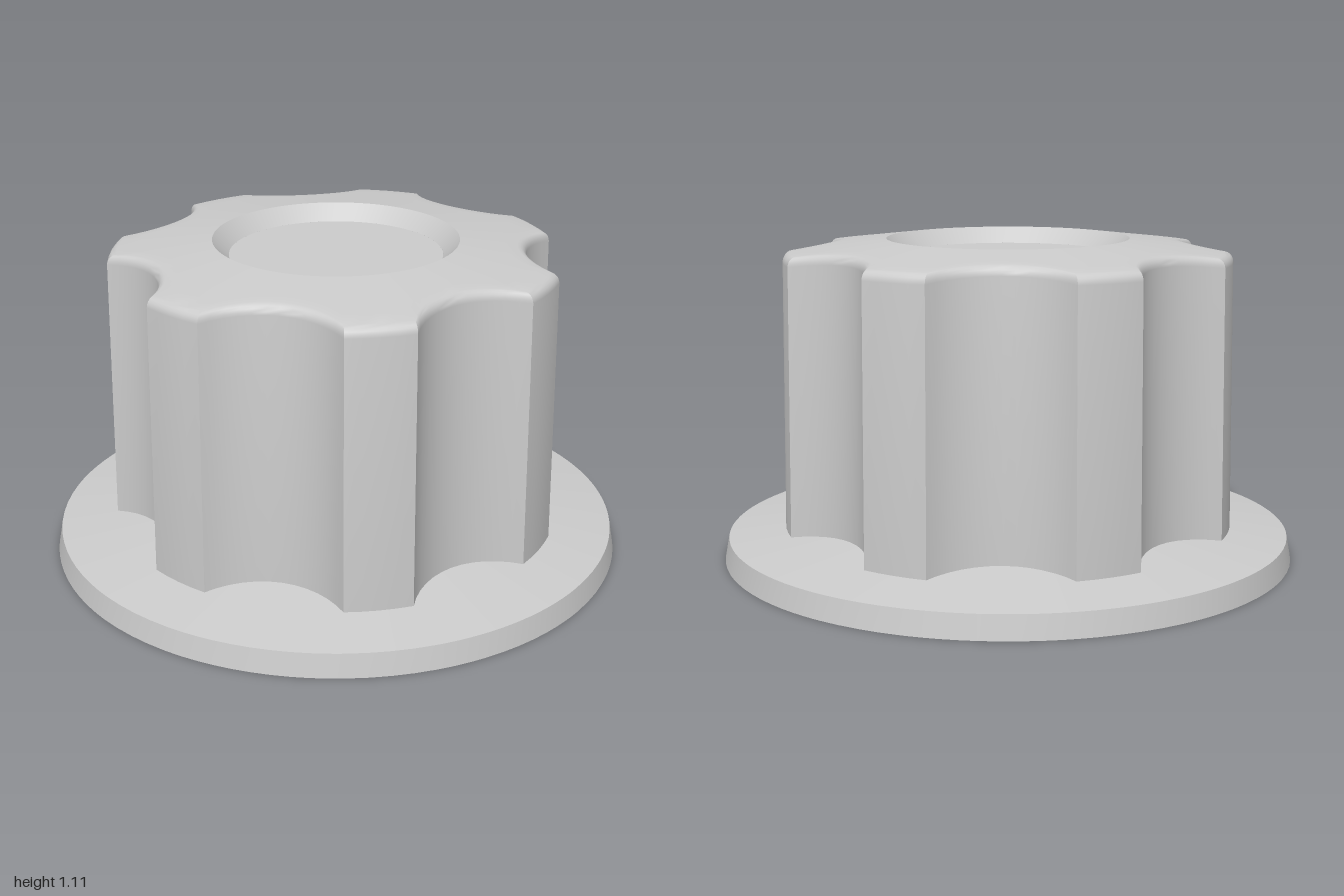
import * as THREE from 'three';
import { toCreasedNormals } from 'three/addons/utils/BufferGeometryUtils.js';

const LOBES = 7;
const STEP = (Math.PI * 2) / LOBES;
const R_LOBE = 0.787;   // lobe radius at the base
const R_VALLEY = 0.655; // flute radius at the base

// Polar outline [angle, radius] of the fluted grip; a flute faces +z, a lobe -z
function gripOutline() {
  const half = STEP / 2 - 0.146; // half angle of a flute
  const chord = R_LOBE * Math.sin(half);
  const sag = R_LOBE * Math.cos(half) - R_VALLEY;
  const R = (chord * chord + sag * sag) / (2 * sag);
  const sweep = Math.asin(chord / R);
  const points = [];
  for (let k = 0; k < LOBES; k++) {
    // concave flute
    for (let i = 0; i < 12; i++) {
      const a = sweep * (i / 6 - 1);
      const x = R * Math.sin(a), z = R_VALLEY + R - R * Math.cos(a);
      points.push([k * STEP + Math.atan2(x, z), Math.hypot(x, z)]);
    }
    // convex lobe face
    for (let i = 0; i < 4; i++) {
      points.push([k * STEP + half + (STEP - 2 * half) * (i / 4), R_LOBE]);
    }
  }
  return points;
}

// Skin a list of rings; each ring maps the outline radius to [radius, height]
function loft(outline, rings, crease) {
  const n = outline.length, pos = [], index = [];
  for (const ring of rings) {
    for (const [angle, radius] of outline) {
      const [r, y] = ring(radius);
      pos.push(r * Math.sin(angle), y, r * Math.cos(angle));
    }
  }
  for (let j = 0; j < rings.length - 1; j++) {
    for (let i = 0; i < n; i++) {
      const k = (i + 1) % n;
      const a = j * n + i, b = j * n + k, c = b + n, d = a + n;
      index.push(a, b, c, a, c, d);
    }
  }
  const geo = new THREE.BufferGeometry();
  geo.setAttribute('position', new THREE.Float32BufferAttribute(pos, 3));
  geo.setIndex(index);
  return toCreasedNormals(geo, crease);
}

export function createModel() {
  const group = new THREE.Group();
  const material = new THREE.MeshStandardMaterial({ color: 0xcccccc, side: THREE.DoubleSide });
  const add = (name, geo) => {
    const mesh = new THREE.Mesh(geo, material);
    mesh.name = name;
    group.add(mesh);
    return mesh;
  };
  const outline = gripOutline();
  const skirtY = r => 0.08 + 0.145 * (0.985 - r);
  const domeY = r => 1.11 - 0.125 * (r - 0.42);

  // Thin flared skirt, open below, with a fluted inner edge
  add('skirt', loft(outline, [
    () => [1, 0],
    () => [0.985, 0.08],
    r => [r, skirtY(r)],
  ], 0.5));

  // Hollow fluted wall, rounded over into the sloping top
  const fillet = 0.035, taper = 0.985;
  const rings = [r => [r, skirtY(r)]];
  for (let i = 0; i <= 5; i++) {
    const a = (i / 5) * (Math.PI / 2 - 0.12);
    rings.push(r => {
      const top = r * taper;
      return [
        top - fillet * (1 - Math.cos(a)),
        domeY(top - fillet) - fillet * (1 - Math.sin(a)),
      ];
    });
  }
  for (let i = 1; i <= 5; i++) {
    rings.push(r => {
      const q = THREE.MathUtils.lerp(r * taper - fillet, 0.42, i / 5);
      return [q, domeY(q)];
    });
  }
  add('grip', loft(outline, rings, 0.6));

  // Chamfered recess in the top
  add('recessChamfer', loft(outline, [() => [0.42, 1.11], () => [0.365, 1.055]], 0.5));
  const floor = add('recessFloor', new THREE.CircleGeometry(0.365, 64));
  floor.rotation.x = -Math.PI / 2;
  floor.position.y = 1.055;

  return group;
}
